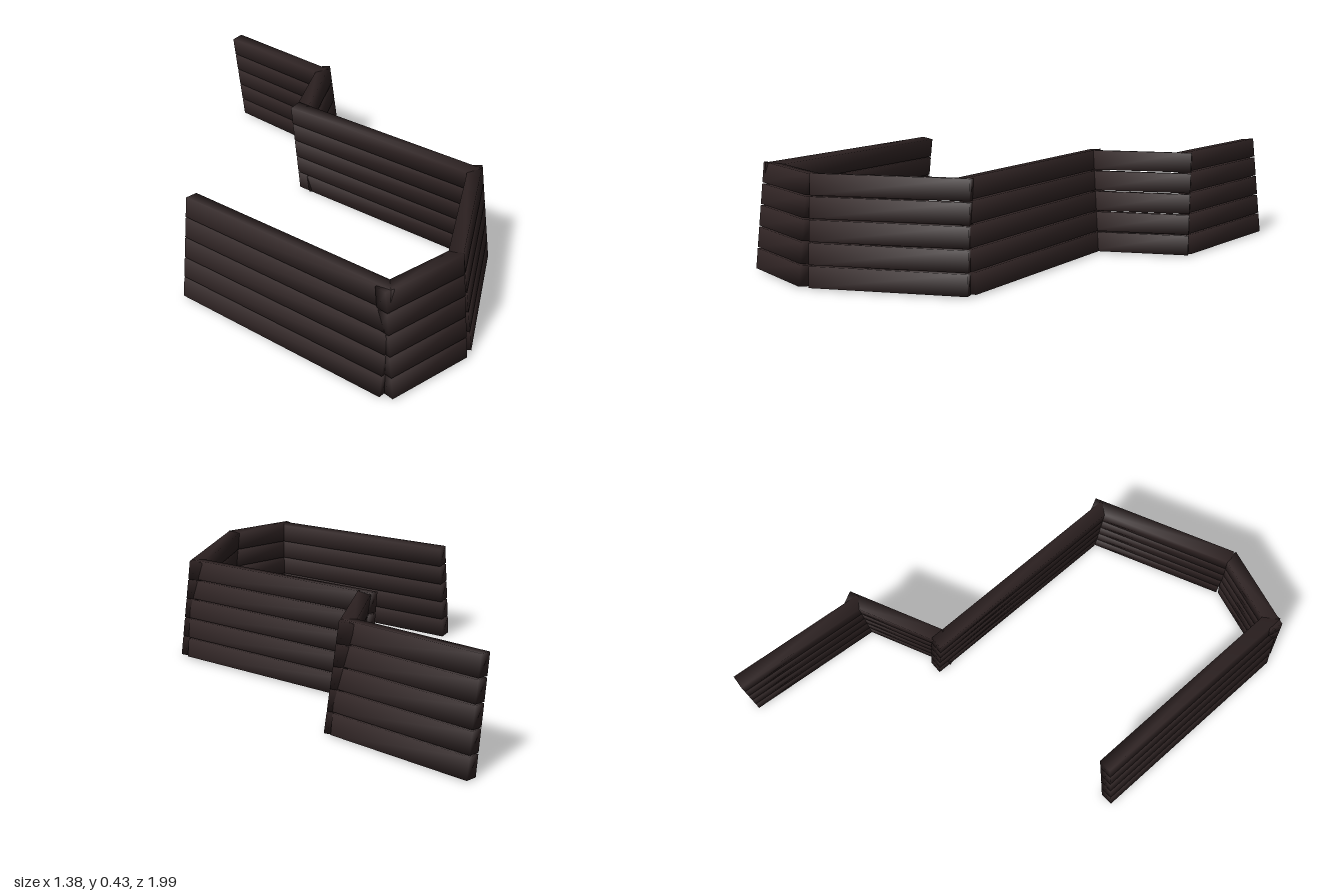
import * as THREE from 'three';
import { mergeVertices } from 'three/addons/utils/BufferGeometryUtils.js';

const ROWS = 5, PITCH = 0.0872, BOARD_HEIGHT = 0.082, THICKNESS = 0.055, LEAN = 0.127;

// Wall runs [x, z] -> [x, z], ordered so the stepped outer face is on local +z
const RUNS = [
  ['frontWall', -0.423, 0.55, 0.43, 0.945],
  ['cornerWall', 0.412, 0.96, 0.637, 0.683],
  ['leftWall', 0.635, 0.675, 0.635, 0.06],
  ['middleWall', 0.63, 0.085, -0.205, -0.305],
  ['returnWall', -0.155, -0.275, -0.155, -0.695],
  ['backWall', -0.155, -0.66, -0.665, -0.952],
];

// Board with shared corners, giving soft rounded shading
function boardGeometry(length) {
  const box = new THREE.BoxGeometry(length, BOARD_HEIGHT, THICKNESS);
  box.deleteAttribute('normal');
  box.deleteAttribute('uv');
  const board = mergeVertices(box);
  board.computeVertexNormals();
  return board;
}

export function createModel() {
  const model = new THREE.Group();
  model.name = 'plankWall';
  const darkWood = new THREE.MeshStandardMaterial({ color: 0x302424 });
  darkWood.name = 'darkWood';

  for (const [name, x0, z0, x1, z1] of RUNS) {
    const wall = new THREE.Group();
    wall.name = name;
    wall.position.set((x0 + x1) / 2, 0.2175, (z0 + z1) / 2);
    wall.rotation.y = -Math.atan2(z1 - z0, x1 - x0);
    model.add(wall);

    // Stack of boards leaning inward
    const stack = new THREE.Group();
    stack.name = name + 'Boards';
    stack.rotation.x = -LEAN;
    wall.add(stack);
    const geometry = boardGeometry(Math.hypot(x1 - x0, z1 - z0));
    for (let i = 0; i < ROWS; i++) {
      const board = new THREE.Mesh(geometry, darkWood);
      board.name = 'board' + (i + 1);
      board.position.y = (i - (ROWS - 1) / 2) * PITCH;
      stack.add(board);
    }
  }
  return model;
}
